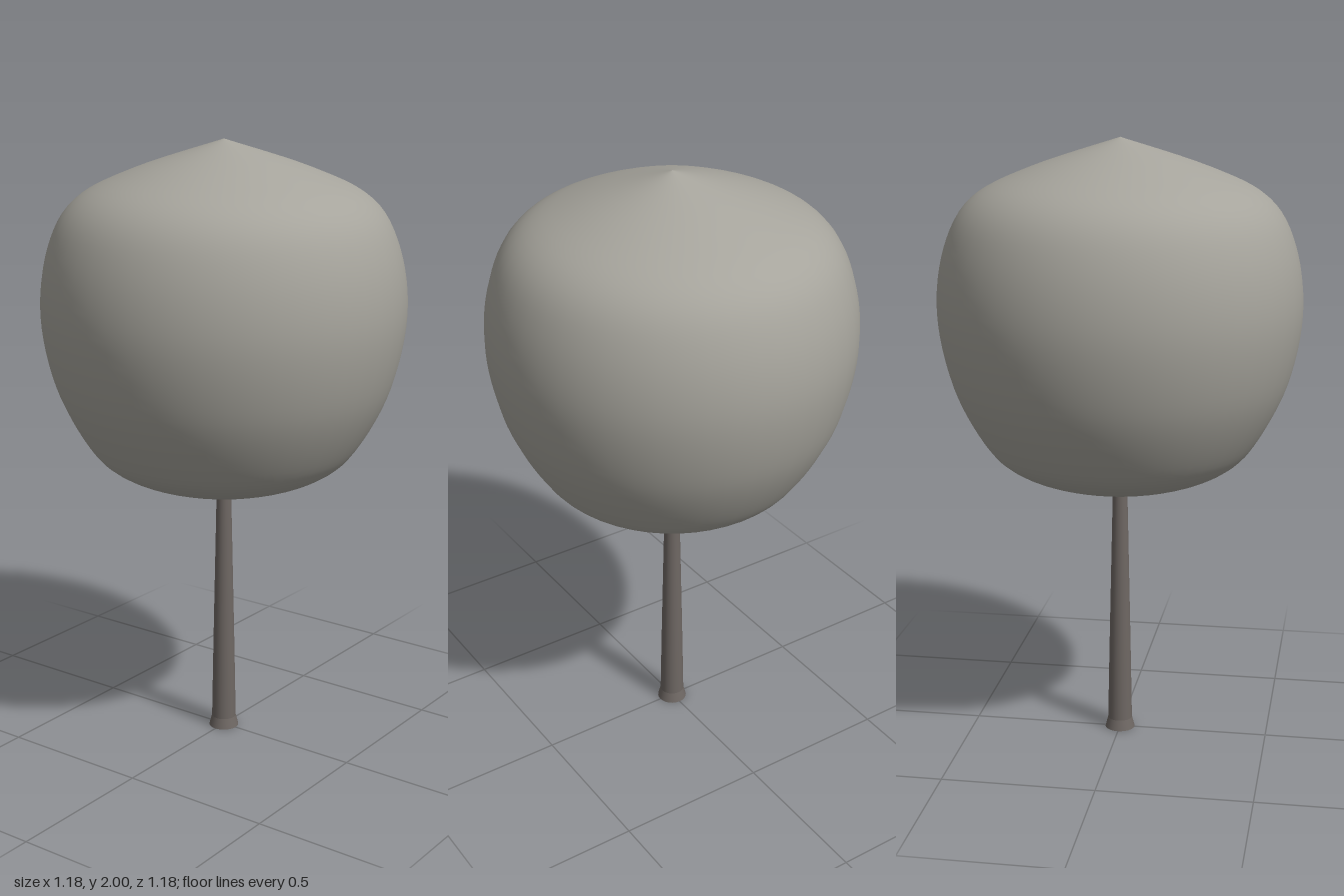
import * as THREE from 'three';

const SEGMENTS = 48;

// Revolve a smooth curve through [radius, height] points, listed bottom to top
function turned(name, profile, material, samples, segments) {
  const curve = new THREE.SplineCurve(profile.map(([r, y]) => new THREE.Vector2(r, y)));
  const points = curve.getPoints(samples);
  points.forEach((p) => { p.x = Math.max(p.x, 0); });
  const mesh = new THREE.Mesh(new THREE.LatheGeometry(points, segments), material);
  mesh.name = name;
  return mesh;
}

export function createModel() {
  const foliage = new THREE.MeshStandardMaterial({ color: 0xa6a49c });
  foliage.name = 'foliage grey';
  const bark = new THREE.MeshStandardMaterial({ color: 0x6e6763 });
  bark.name = 'bark grey brown';

  const tree = new THREE.Group();
  tree.name = 'tree';

  // Rounded crown with a shallow point at top and bottom
  tree.add(turned('crown', [
    [0, 0.845], [0.21, 0.883], [0.36, 0.94], [0.45, 1.03], [0.545, 1.22],
    [0.588, 1.45], [0.561, 1.66], [0.475, 1.81], [0.29, 1.905], [0, 2],
  ], foliage, 54, SEGMENTS));

  // Slim tapered trunk, running a little way into the crown
  tree.add(turned('trunk', [
    [0.041, 0.035], [0.036, 0.3], [0.03, 0.58], [0.024, 0.86],
  ], bark, 6, 24));

  // Flared foot
  const foot = new THREE.Mesh(new THREE.CylinderGeometry(0.041, 0.05, 0.035, 24), bark);
  foot.name = 'trunkFoot';
  foot.position.y = 0.0175;
  tree.add(foot);

  return tree;
}
